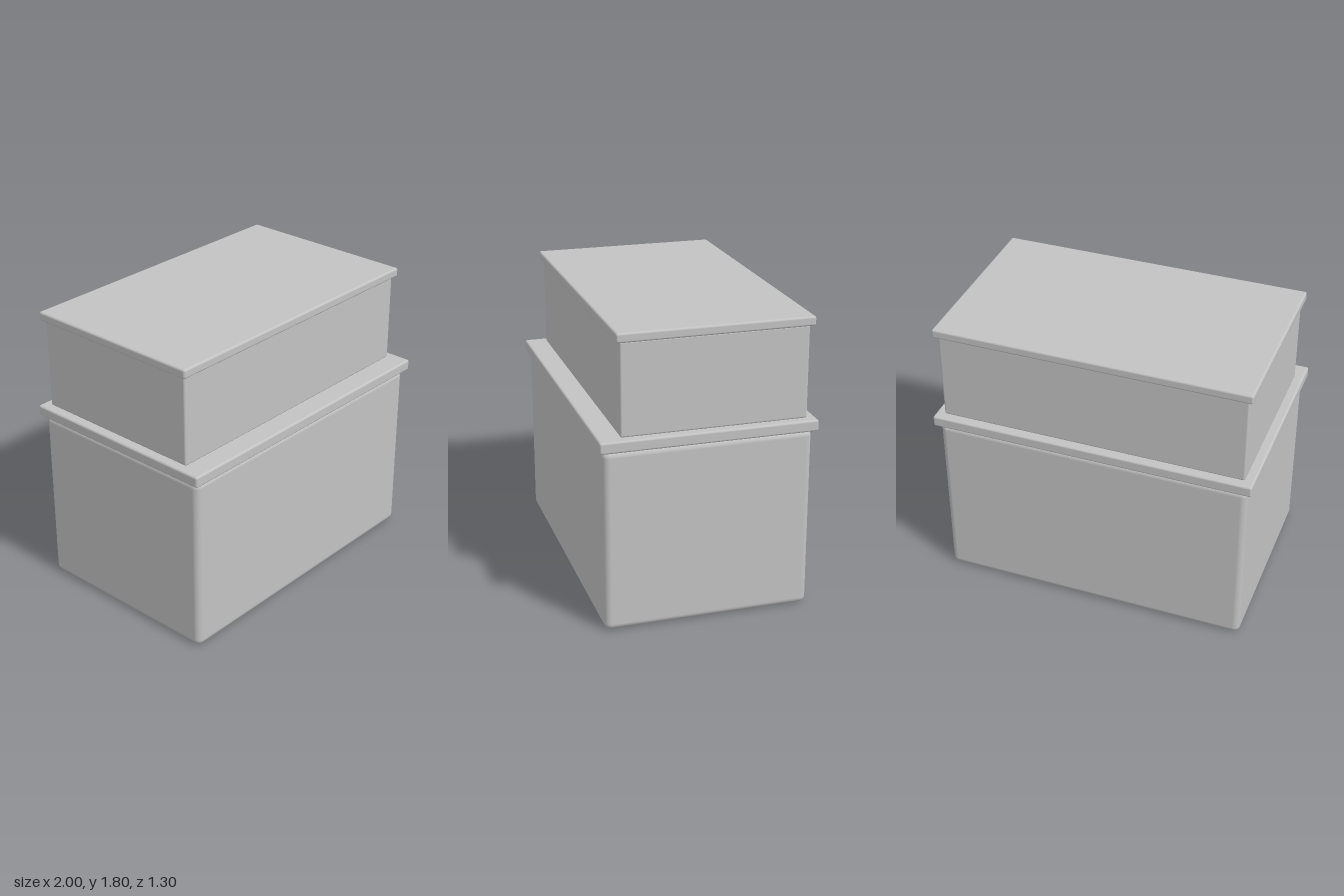
import * as THREE from 'three';
import { RoundedBoxGeometry } from 'three/addons/geometries/RoundedBoxGeometry.js';

export function createModel() {
  const group = new THREE.Group();
  const grey = new THREE.MeshStandardMaterial({ color: 0xc2c2c2 });
  grey.name = 'grey';

  // Rounded block given by its half width, bottom, top, back and front
  function block(name, halfWidth, bottom, top, back, front, radius) {
    const geometry = new RoundedBoxGeometry(2 * halfWidth, top - bottom, front - back, 5, radius);
    const mesh = new THREE.Mesh(geometry, grey);
    mesh.name = name;
    mesh.position.set(0, (bottom + top) / 2, (back + front) / 2);
    group.add(mesh);
  }

  // Lower cabinet and the slab that overhangs it all round
  block('lowerBody', 0.97, 0, 1.115, -0.625, 0.625, 0.04);
  block('lowerSlab', 1, 1.115, 1.185, -0.65, 0.65, 0.013);

  // Upper box, set back from the front, and its lid
  block('upperBody', 0.945, 1.183, 1.742, -0.597, 0.517, 0.012);
  block('upperLid', 0.97, 1.74, 1.797, -0.623, 0.542, 0.013);

  return group;
}
